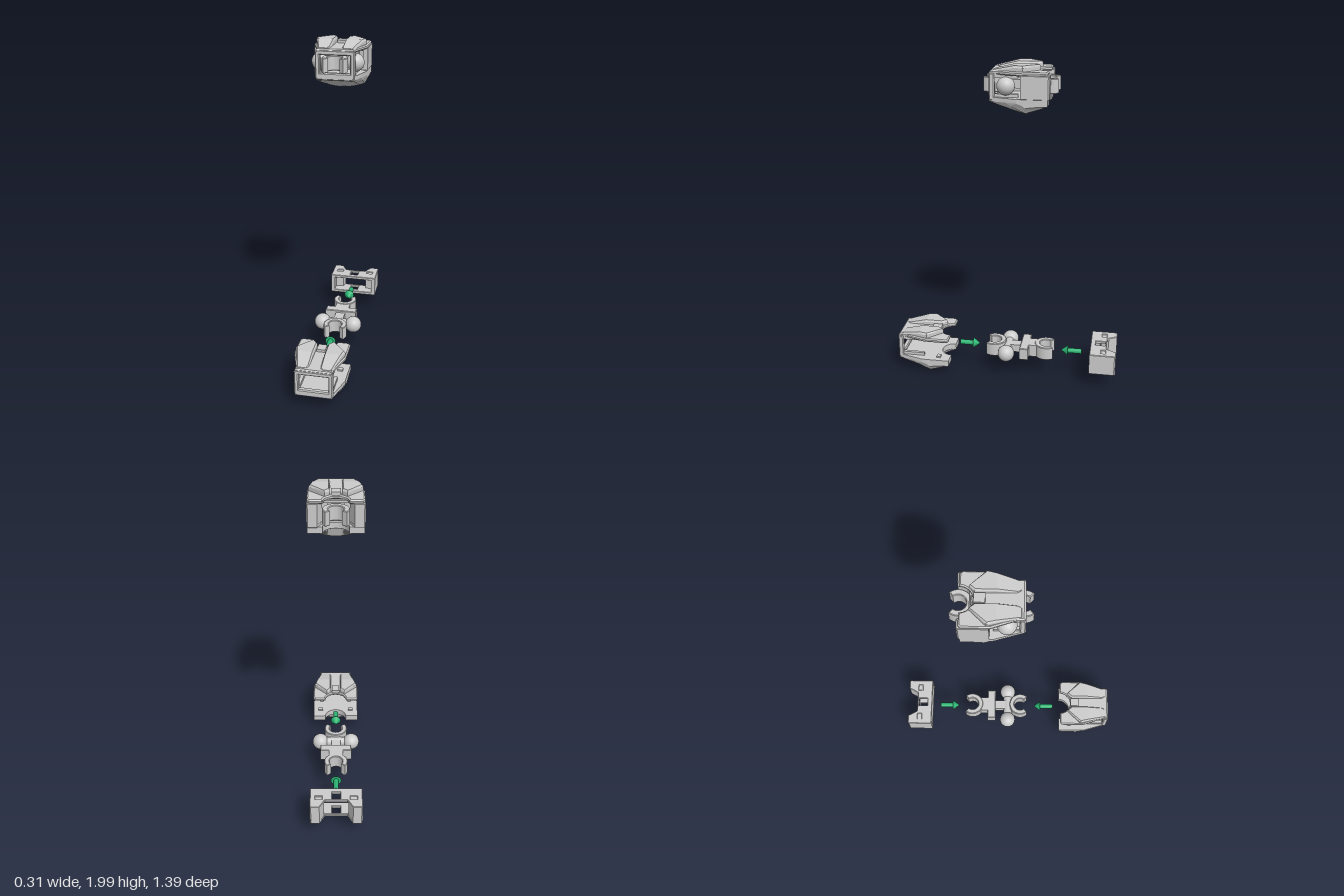
import * as THREE from 'three';
import { toCreasedNormals } from 'three/addons/utils/BufferGeometryUtils.js';
import { ConvexGeometry } from 'three/addons/geometries/ConvexGeometry.js';

const grey = new THREE.MeshStandardMaterial({ color: 0xcccccc });
const green = new THREE.MeshStandardMaterial({ color: 0x2ab573 });
const MID = 0.177; // height of the joint axis

function add(group, name, geometry, material = grey) {
  const mesh = new THREE.Mesh(geometry, material);
  mesh.name = name;
  group.add(mesh);
  return mesh;
}

const outline = (pts) => new THREE.Shape(pts.map(([x, z]) => new THREE.Vector2(x, z)));
const mirrored = (pts) => [...pts, ...pts.map(([x, z]) => [-x, z]).reverse()];

function rectHole(cx, cz, w, d) {
  return new THREE.Path([[-1, -1], [1, -1], [1, 1], [-1, 1]]
    .map(([a, b]) => new THREE.Vector2(cx + a * w / 2, cz + b * d / 2)));
}

// Horizontal slab: the shape lies in x and z and spans y0 to y1
function slab(shape, y0, y1, bevel = 0.004) {
  const g = new THREE.ExtrudeGeometry(shape, {
    depth: y1 - y0 - 2 * bevel, bevelEnabled: bevel > 0, bevelThickness: bevel,
    bevelSize: bevel, bevelOffset: -bevel, bevelSegments: 1, curveSegments: 16,
  });
  g.rotateX(Math.PI / 2).translate(0, y1 - bevel, 0);
  return toCreasedNormals(g, 0.5);
}

function box(x0, x1, y0, y1, z0, z1) {
  return new THREE.BoxGeometry(x1 - x0, y1 - y0, z1 - z0)
    .translate((x0 + x1) / 2, (y0 + y1) / 2, (z0 + z1) / 2);
}

// Lower jaw: side profiles lofted across x, with a round bite at the rear and a keel
function jawGeometry() {
  const xs = [-0.155, -0.137, -0.108];
  for (let i = 0; i <= 24; i++) xs.push(-0.072 * Math.cos(Math.PI * i / 24));
  xs.push(0.108, 0.137, 0.155);
  const rings = xs.map((x) => {
    const a = Math.abs(x);
    const rear = 0.36 + (a < 0.072 ? Math.sqrt(0.072 ** 2 - a * a) : 0);
    const front = a <= 0.108 ? 0.695 : 0.695 - (a - 0.108) * 3.4;
    const end = a > 0.15;
    const keel = end ? 0.065 : 0.006 + 1.4 * a * a;
    return [
      [front, 0.114], [rear, 0.114], [rear, 0.075],
      [Math.min(rear + 0.04, 0.465), end ? 0.075 : 0.058], [0.485, keel],
      [Math.min(0.635, front - 0.03), end ? 0.08 : 0.068], [front, 0.09],
    ].map(([z, y]) => [x, y, z]);
  });
  const pos = [];
  const tri = (...p) => p.forEach((v) => pos.push(...v));
  const n = rings[0].length;
  for (let i = 0; i < rings.length - 1; i++) {
    for (let j = 0; j < n; j++) {
      const k = (j + 1) % n, A = rings[i], B = rings[i + 1];
      tri(A[j], B[j], B[k]);
      tri(A[j], B[k], A[k]);
    }
  }
  const L = rings[0], R = rings[rings.length - 1];
  for (let j = 1; j < n - 1; j++) {
    tri(L[0], L[j], L[j + 1]);
    tri(R[0], R[j + 1], R[j]);
  }
  const g = new THREE.BufferGeometry();
  g.setAttribute('position', new THREE.Float32BufferAttribute(pos, 3));
  return toCreasedNormals(g, 0.45);
}

function createShell() {
  const g = new THREE.Group();
  // Top plate with a round bite at the rear
  const s = new THREE.Shape();
  s.moveTo(0.072, 0.36);
  [[0.142, 0.36], [0.155, 0.375], [0.155, 0.52], [0.11, 0.655], [0.11, 0.693],
    [-0.11, 0.693], [-0.11, 0.655], [-0.155, 0.52], [-0.155, 0.375], [-0.142, 0.36],
    [-0.072, 0.36]].forEach(([x, z]) => s.lineTo(x, z));
  s.absarc(0, 0.36, 0.072, Math.PI, 0, true);
  add(g, 'topPlate', slab(s, 0.24, 0.264, 0.007));
  add(g, 'lowerJaw', jawGeometry());

  // Raised armour petals, folded down towards the front
  const petal = [[0.06, 0.41], [0.148, 0.5], [0.135, 0.55], [0.1, 0.68],
    [0.045, 0.68], [0.033, 0.66], [0.033, 0.55], [0.033, 0.44]];
  const topY = (z) => 0.296 - Math.max(0, z - 0.55) * 0.24;
  for (const side of [1, -1]) {
    const pts = [];
    for (const [x, z] of petal) {
      const xi = 0.08 + (x - 0.08) * 0.86, zi = 0.55 + (z - 0.55) * 0.95;
      pts.push(new THREE.Vector3(side * x, 0.25, z));
      pts.push(new THREE.Vector3(side * x, topY(z) - 0.012, z));
      pts.push(new THREE.Vector3(side * xi, topY(zi), zi));
    }
    add(g, 'armourPetal', new ConvexGeometry(pts));
    // Side rails behind the frame and locking pegs
    for (const [y0, y1] of [[0.222, 0.245], [0.11, 0.133]]) {
      add(g, 'sideRail', box(side * 0.098 - 0.01, side * 0.098 + 0.01, y0, y1, 0.53, 0.67));
    }
    for (const y of [0.238, 0.116]) {
      add(g, 'lockingPeg', box(side * 0.105 - 0.016, side * 0.105 + 0.016,
        y - 0.008, y + 0.008, 0.42, 0.445));
    }
  }
  add(g, 'grooveTab', box(-0.026, 0.026, 0.25, 0.28, 0.434, 0.493));

  // Front frame with its window
  const f = outline(mirrored([[0.1, 0.087], [0.114, 0.1], [0.114, 0.244], [0.103, 0.257]]));
  f.holes.push(rectHole(0, 0.178, 0.174, 0.1));
  const frame = new THREE.ExtrudeGeometry(f, {
    depth: 0.02, bevelThickness: 0.006, bevelSize: 0.006, bevelOffset: -0.006, bevelSegments: 1,
  }).translate(0, 0, 0.671);
  add(g, 'frontFrame', toCreasedNormals(frame, 0.5));
  return g;
}

// Open ring clip; dir is the z direction of its mouth
function clipGeometry(z, dir) {
  const s = new THREE.Shape();
  const a = dir * Math.PI / 2, gap = 0.88;
  s.absarc(0, z, 0.074, a + gap, a - gap + 2 * Math.PI, false);
  s.absarc(0, z, 0.042, a - gap + 2 * Math.PI, a + gap, true);
  s.closePath();
  return slab(s, MID - 0.043, MID + 0.043);
}

function createJoint() {
  const g = new THREE.Group();
  add(g, 'frontClip', clipGeometry(0.083, 1));
  add(g, 'rearClip', clipGeometry(-0.252, -1));
  add(g, 'axle', new THREE.CylinderGeometry(0.03, 0.03, 0.2, 20)
    .rotateZ(Math.PI / 2).translate(0, MID, -0.005));
  for (const x of [-0.101, 0.101]) {
    add(g, 'ball', new THREE.SphereGeometry(0.052, 32, 20).translate(x, MID, -0.005));
  }
  add(g, 'neck', box(-0.03, 0.03, MID - 0.025, MID + 0.025, -0.1, 0.02));
  add(g, 'crossBar', slab(outline(mirrored([[0.1, -0.145], [0.1, -0.09]])), MID - 0.04, MID + 0.04));
  add(g, 'rearBlock', box(-0.045, 0.045, MID - 0.04, MID + 0.04, -0.2, -0.13));
  return g;
}

function createBracket() {
  const g = new THREE.Group();
  const plate = mirrored([[0.067, -0.637], [0.1, -0.698], [0.15, -0.698], [0.157, -0.69],
    [0.157, -0.535]]);
  for (const [y0, y1] of [[0.226, 0.246], [0.112, 0.132]]) {
    const s = outline(plate);
    s.holes.push(rectHole(0, -0.597, 0.052, 0.06));
    for (const x of [-0.105, 0.105]) s.holes.push(rectHole(x, -0.618, 0.04, 0.028));
    add(g, 'bracketPlate', slab(s, y0, y1, 0.003));
  }
  // Side walls thicken into rear posts
  const wall = [[0.157, -0.535], [0.132, -0.535], [0.132, -0.59], [0.08, -0.598],
    [0.073, -0.645], [0.1, -0.698], [0.15, -0.698], [0.157, -0.69]];
  for (const side of [1, -1]) {
    add(g, 'sideWall', slab(outline(wall.map(([x, z]) => [side * x, z])), 0.118, 0.24, 0));
  }
  return g;
}

// Arrow with its tail at z and its tip 0.132 away
function createArrow(z, dir) {
  const g = new THREE.Group();
  add(g, 'arrowShaft', new THREE.CylinderGeometry(0.016, 0.016, 0.09, 20)
    .translate(0, 0.045, 0), green);
  add(g, 'arrowHead', new THREE.ConeGeometry(0.033, 0.045, 24).translate(0, 0.1095, 0), green);
  g.rotation.x = dir * Math.PI / 2;
  g.position.set(0, MID, z);
  return g;
}

export function createModel() {
  const model = new THREE.Group();
  const parts = [
    ['shell', createShell(), -0.607],
    ['joint', createJoint(), 0],
    ['bracket', createBracket(), 0.44],
  ];
  // Separated parts below, the closed assembly above
  const assembly = new THREE.Group();
  assembly.name = 'assembly';
  assembly.position.y = 1.704;
  for (const [name, part, shift] of parts) {
    part.name = name;
    const copy = part.clone();
    copy.position.z = shift;
    assembly.add(copy);
    model.add(part);
  }
  model.add(assembly);
  for (const [z, dir] of [[0.311, -1], [-0.478, 1]]) {
    const arrow = createArrow(z, dir);
    arrow.name = dir < 0 ? 'frontArrow' : 'rearArrow';
    model.add(arrow);
  }
  return model;
}
